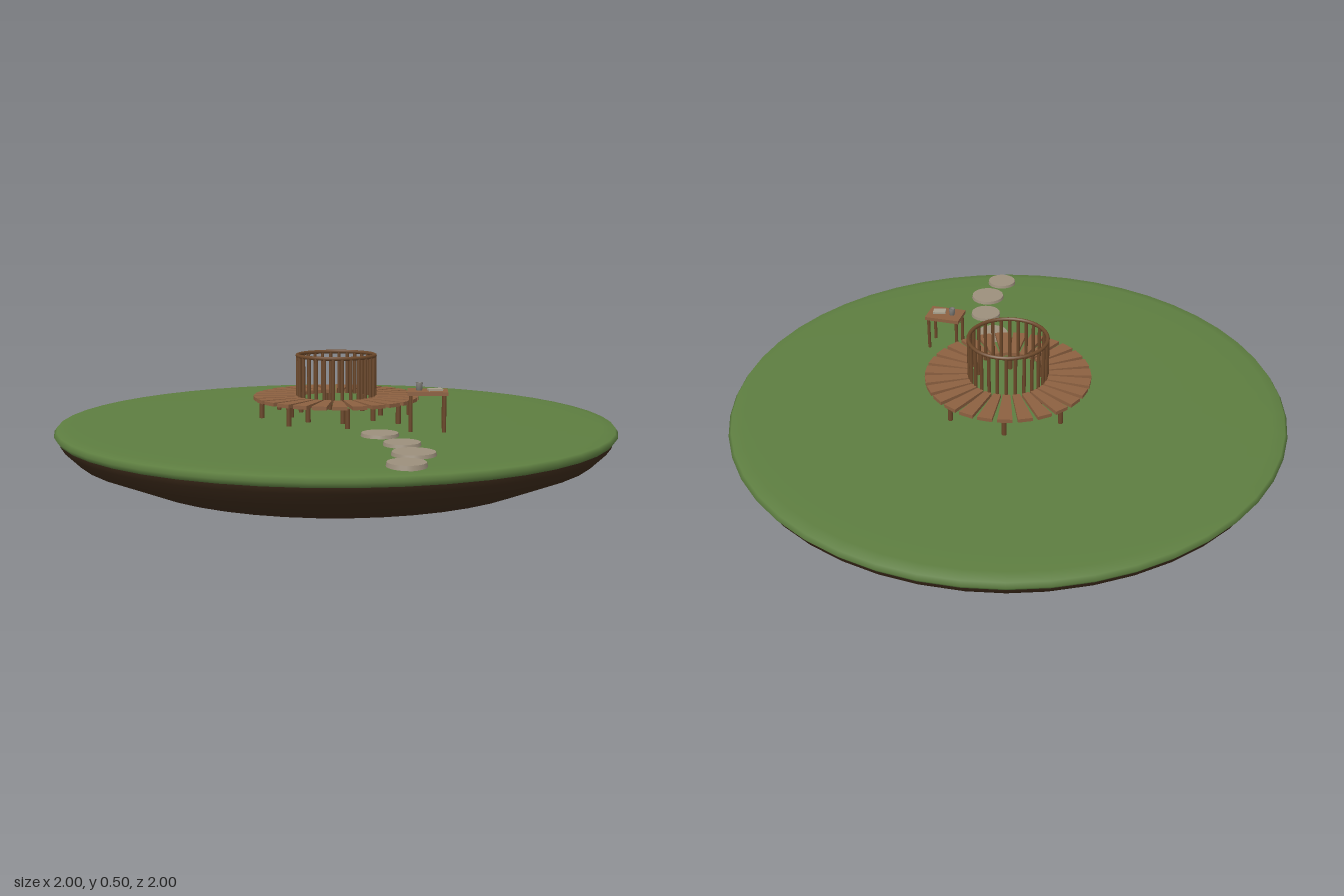
import * as THREE from 'three';

const mat = (name, color, side = THREE.FrontSide) => {
  const m = new THREE.MeshStandardMaterial({ color, side });
  m.name = name;
  return m;
};

export function createModel() {
  const root = new THREE.Group();
  const grass = mat('grass', 0x5d7d40);
  const soil = mat('soil', 0x3c2a1a);
  const plank = mat('plankWood', 0x8c6040);
  const darkWood = mat('darkWood', 0x6b4729);
  const stone = mat('stone', 0x9c8f7c);
  const paper = mat('paper', 0xa89f8c);
  const metal = mat('cupMetal', 0x85827c, THREE.DoubleSide);
  const GROUND = 0.272, SEAT = 0.352;

  const add = (parent, name, geo, material, x = 0, y = 0, z = 0) => {
    const mesh = new THREE.Mesh(geo, material);
    mesh.name = name;
    mesh.position.set(x, y, z);
    parent.add(mesh);
    return mesh;
  };
  const group = (name) => {
    const g = new THREE.Group();
    g.name = name;
    root.add(g);
    return g;
  };
  const lathe = (pts) => new THREE.LatheGeometry(pts.map(p => new THREE.Vector2(...p)), 48);
  // Upright round post between two heights
  const post = (parent, name, r, x, z, y0, y1, material) =>
    add(parent, name, new THREE.CylinderGeometry(r, r, y1 - y0, 8), material, x, (y0 + y1) / 2, z);

  // Ground disc: soil bowl with a grass cap
  add(root, 'soilBase', lathe([[0, 0], [0.39, 0.02], [0.745, 0.085], [0.93, 0.165], [0.98, 0.215], [0.985, 0.24]]), soil);
  add(root, 'grassTop', lathe([[0.96, 0.232], [0.988, 0.234], [1, 0.25], [0.99, 0.264], [0.95, 0.269],
    [0.84, GROUND], [0.6, GROUND], [0, GROUND]]), grass);

  // Round bench: tapered slats fanned about the centre
  const bench = group('roundBench');
  const slatShape = new THREE.Shape([[-0.0135, 0.145], [0.0135, 0.145], [0.026, 0.3], [-0.026, 0.3]]
    .map(p => new THREE.Vector2(...p)));
  const slatGeo = new THREE.ExtrudeGeometry(slatShape, { depth: 0.013, bevelEnabled: false });
  slatGeo.rotateX(-Math.PI / 2);
  const SLATS = 27;
  for (let i = 0; i < SLATS; i++) {
    add(bench, 'seatSlat', slatGeo, plank, 0, SEAT - 0.013, 0).rotation.y = i / SLATS * Math.PI * 2;
  }

  // Outer and inner bench legs
  for (let i = 0; i < 8; i++) {
    const a = (12.5 + i * 45) * Math.PI / 180;
    for (const r of [0.272, 0.165]) {
      post(bench, 'benchLeg', 0.009, r * Math.sin(a), r * Math.cos(a), GROUND - 0.005, SEAT - 0.012, darkWood);
    }
  }

  // Circular backrest with spindles and a top rail
  const backrest = group('backrest');
  const SPINDLES = 28, R = 0.141;
  for (let i = 0; i < SPINDLES; i++) {
    const a = i / SPINDLES * Math.PI * 2;
    post(backrest, 'spindle', 0.0065, R * Math.sin(a), R * Math.cos(a), SEAT - 0.012, 0.498, darkWood);
  }
  const railGeo = new THREE.TorusGeometry(R, 0.007, 8, 48);
  railGeo.rotateX(Math.PI / 2);
  add(backrest, 'topRail', railGeo, darkWood, 0, 0.497, 0);

  // Side table with a cup and a book
  const table = group('sideTable');
  const TOP = 0.408;
  table.position.set(0.328, 0, 0.273);
  add(table, 'tableTop', new THREE.BoxGeometry(0.135, 0.013, 0.095), plank, 0, TOP - 0.0065, 0);
  for (const sx of [-1, 1]) for (const sz of [-1, 1]) {
    post(table, 'tableLeg', 0.0065, sx * 0.056, sz * 0.038, GROUND - 0.005, TOP - 0.012, darkWood);
  }
  add(table, 'cup', lathe([[0, 0], [0.01, 0], [0.012, 0.026], [0.01, 0.026], [0.009, 0.004], [0, 0.004]]),
    metal, -0.028, TOP, 0);
  add(table, 'book', new THREE.BoxGeometry(0.048, 0.007, 0.032), paper, 0.025, TOP + 0.0035, 0.006).rotation.y = 0.2;

  // Stepping stones
  const path = group('steppingStones');
  for (const [x, z, r] of [[0.173, 0.393, 0.064], [0.247, 0.55, 0.061], [0.283, 0.703, 0.069], [0.263, 0.855, 0.06]]) {
    add(path, 'steppingStone', new THREE.CylinderGeometry(r * 0.95, r, 0.016, 20), stone, x, GROUND + 0.003, z);
  }
  return root;
}
